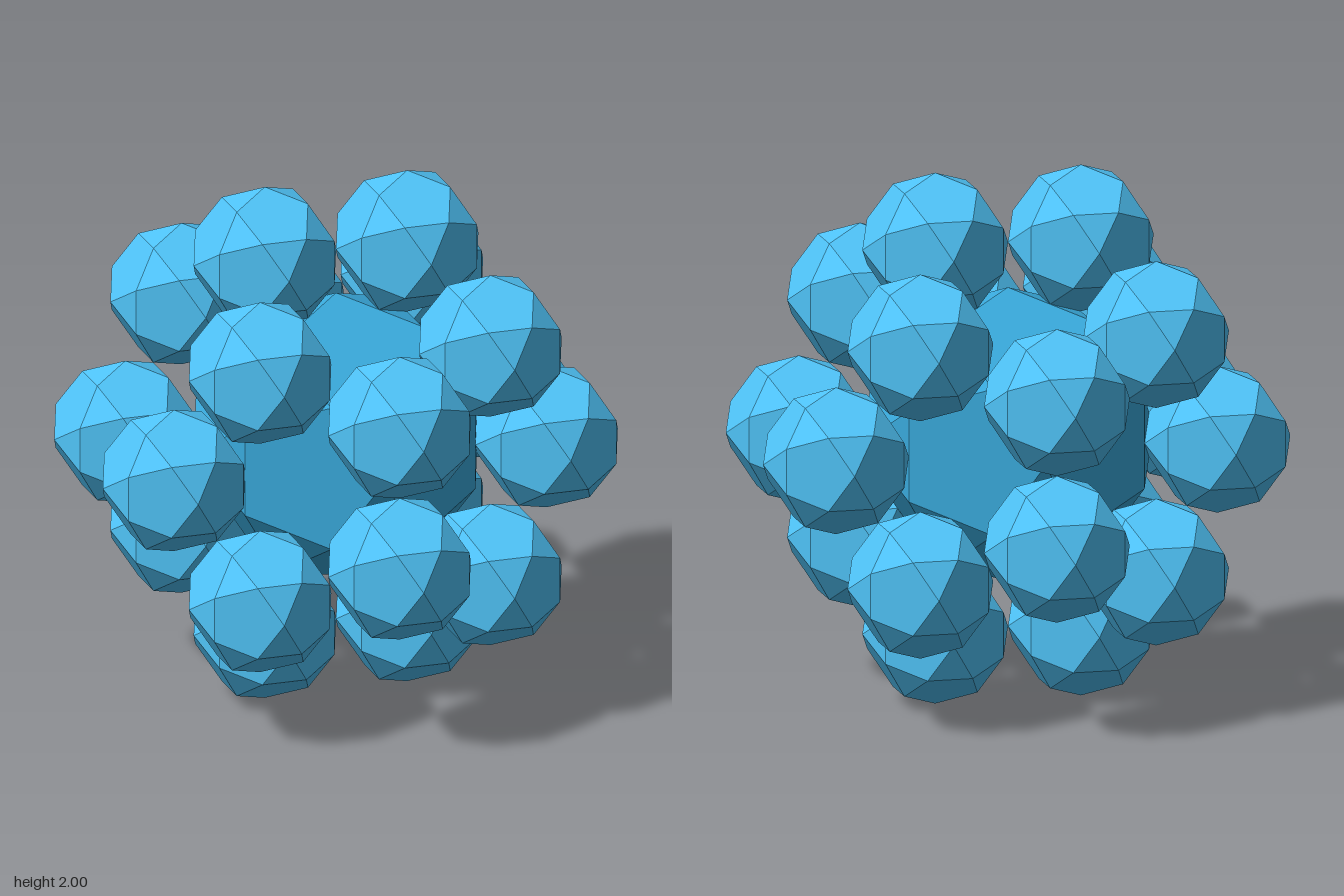
import * as THREE from 'three';
import { ConvexGeometry } from 'three/addons/geometries/ConvexGeometry.js';

const PHI = (1 + Math.sqrt(5)) / 2;
const SIGNS = [1, -1];

// All distinct sign changes and cyclic shifts of one point
function symmetricPoints(x, y, z) {
  const found = new Map();
  for (const sx of SIGNS) for (const sy of SIGNS) for (const sz of SIGNS) {
    const p = [x * sx, y * sy, z * sz];
    for (let k = 0; k < 3; k++) {
      const v = new THREE.Vector3(p[k], p[(k + 1) % 3], p[(k + 2) % 3]);
      found.set(v.toArray().map((n) => Math.round(n * 1000)).join(), v);
    }
  }
  return [...found.values()];
}

// Icosidodecahedron: 20 triangles and 12 pentagons
function icosidodecahedron(radius) {
  const points = [
    ...symmetricPoints(1, 0, 0),
    ...symmetricPoints(0.5 / PHI, 0.5, PHI / 2),
  ];
  return new ConvexGeometry(points.map((p) => p.multiplyScalar(radius)));
}

export function createModel() {
  const group = new THREE.Group();
  const scale = 1 / Math.sqrt(5);
  const ballRadius = scale / PHI; // neighbouring balls touch at their corners

  // Large core
  const core = new THREE.Mesh(
    icosidodecahedron(ballRadius * 2),
    new THREE.MeshStandardMaterial({ color: 0x39a9db, flatShading: true })
  );
  core.name = 'core';
  core.position.y = 1;
  group.add(core);

  // Twenty balls on the corners of a dodecahedron
  const ballGeometry = icosidodecahedron(ballRadius);
  const ballMaterial = new THREE.MeshStandardMaterial({ color: 0x4fc3f7, flatShading: true });
  const corners = [...symmetricPoints(1, 1, 1), ...symmetricPoints(0, 1 / PHI, PHI)];
  corners.forEach((corner, i) => {
    const ball = new THREE.Mesh(ballGeometry, ballMaterial);
    ball.name = `outerBall${i + 1}`;
    ball.position.copy(corner).multiplyScalar(scale);
    ball.position.y += 1;
    group.add(ball);
  });

  return group;
}
